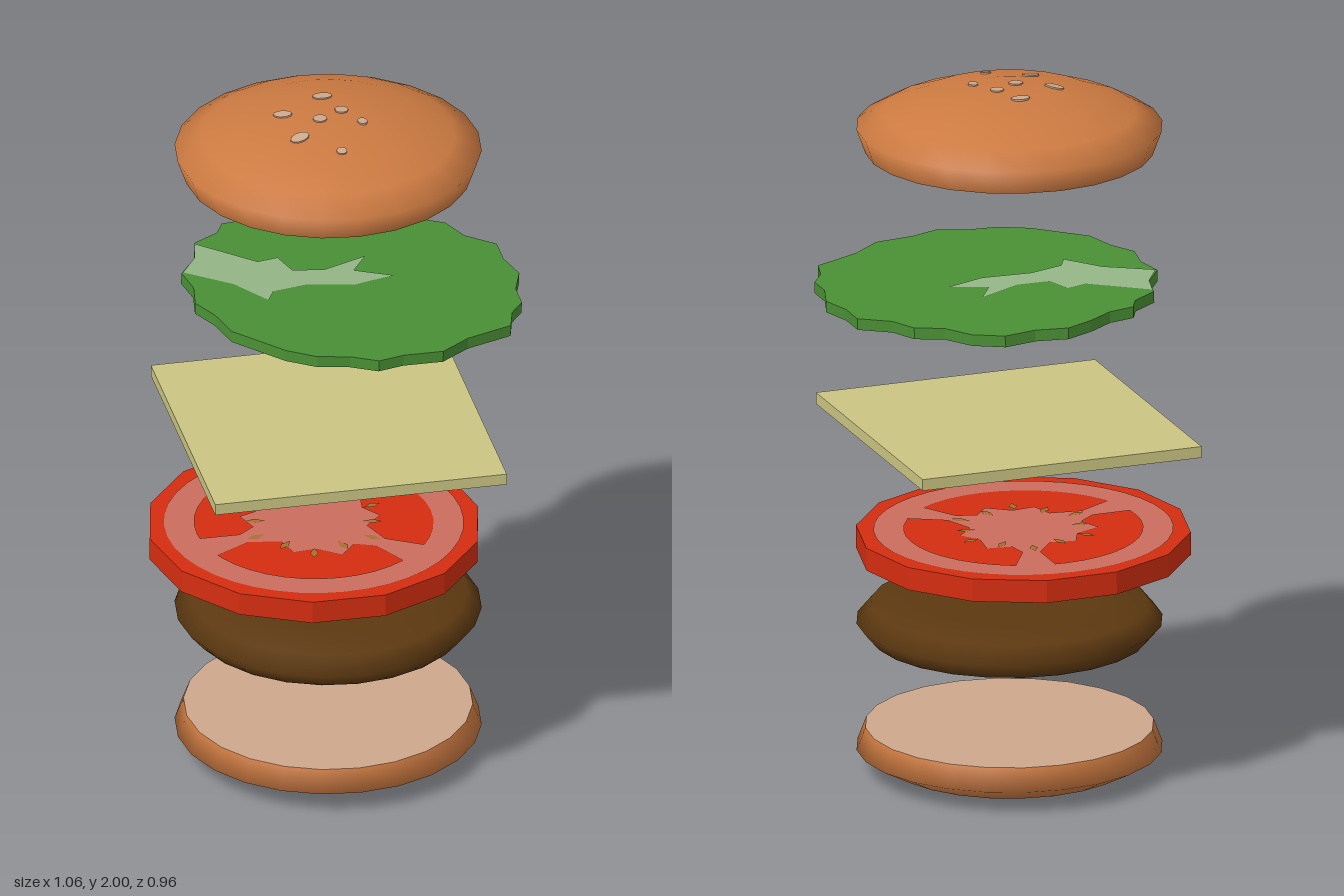
import * as THREE from 'three';

const mat = (name, color) => {
  const m = new THREE.MeshStandardMaterial({ color });
  m.name = name;
  return m;
};

// Flat outline given as [x, z] pairs, facing up; optional holes and thickness
function slab(points, depth = 0, holes = []) {
  const toV = (list) => list.map(([x, z]) => new THREE.Vector2(x, -z));
  const shape = new THREE.Shape(toV(points));
  holes.forEach((h) => shape.holes.push(new THREE.Path(toV(h))));
  const geo = depth
    ? new THREE.ExtrudeGeometry(shape, { depth, bevelEnabled: false })
    : new THREE.ShapeGeometry(shape);
  return geo.rotateX(-Math.PI / 2);
}

const ringPoints = (n, radius) =>
  Array.from({ length: n }, (_, i) => {
    const a = (i / n) * Math.PI * 2;
    const r = typeof radius === 'function' ? radius(i) : radius;
    return [r * Math.cos(a), r * Math.sin(a)];
  });

const lathe = (profile) =>
  new THREE.LatheGeometry(profile.map(([r, y]) => new THREE.Vector2(r, y)), 24);

export function createModel() {
  const model = new THREE.Group();
  model.name = 'explodedBurger';

  const crust = mat('bun crust', 0xcc7a41);
  const crumb = mat('bun crumb and sesame', 0xcda88b);
  const green = mat('lettuce green', 0x4a8f35);
  const vein = mat('lettuce vein', 0x94b686);
  const yellow = mat('cheese yellow', 0xcac582);
  const red = mat('tomato red', 0xd42d10);
  const pink = mat('tomato flesh', 0xca6c5c);
  const seed = mat('tomato seed', 0xa8702f);
  const brown = mat('patty brown', 0x5c3810);

  const add = (parent, name, geo, material, x = 0, y = 0, z = 0) => {
    const mesh = new THREE.Mesh(geo, material);
    mesh.name = name;
    mesh.position.set(x, y, z);
    parent.add(mesh);
    return mesh;
  };
  const group = (name, x, y, z) => {
    const g = new THREE.Group();
    g.name = name;
    g.position.set(x, y, z);
    model.add(g);
    return g;
  };
  const CX = -0.02, CZ = 0.02;

  // Bottom bun with a pale cut face
  const bottomBun = group('bottomBun', CX, 0, CZ);
  add(bottomBun, 'bottomCrust',
    lathe([[0, 0], [0.235, 0.003], [0.345, 0.02], [0.43, 0.065], [0.405, 0.13]]), crust);
  add(bottomBun, 'bottomCutFace',
    new THREE.CircleGeometry(0.405, 24).rotateX(-Math.PI / 2), crumb, 0, 0.13, 0);

  // Patty
  add(model, 'patty',
    lathe([[0, 0.373], [0.25, 0.375], [0.39, 0.39], [0.43, 0.437], [0.39, 0.485], [0.26, 0.499], [0, 0.5]]),
    brown, CX, 0, CZ);

  // Tomato slice, patterned on both faces
  const tomato = group('tomato', -0.06, 0.666, 0.015);
  tomato.rotation.z = -0.006;
  add(tomato, 'tomatoSlice', slab(ringPoints(14, 0.47), 0.066), red, 0, -0.033, 0);
  const fleshRing = slab(ringPoints(40, 0.42), 0, [ringPoints(40, 0.335)]);
  const core = [0.19, 0.15, 0.2, 0.17, 0.21, 0.16];
  const fleshCore = slab(ringPoints(18, (i) => core[i % core.length]));
  const spoke = slab([[0.12, -0.07], [0.22, -0.025], [0.35, -0.06], [0.35, 0.06], [0.22, 0.025], [0.12, 0.07]]);
  const fleck = slab([[-0.03, 0], [0, -0.012], [0.025, 0], [0, 0.012]]);
  for (const side of [1, -1]) {
    const face = new THREE.Group();
    face.name = side > 0 ? 'tomatoTopPattern' : 'tomatoBottomPattern';
    if (side < 0) face.rotation.z = Math.PI;
    tomato.add(face);
    add(face, 'fleshRing', fleshRing, pink, 0, 0.035, 0);
    add(face, 'fleshCore', fleshCore, pink, 0, 0.0355, 0);
    for (let i = 0; i < 3; i++) {
      add(face, 'fleshSpoke', spoke, pink, 0, 0.036, 0).rotation.y = -Math.PI / 4 + (i * Math.PI * 2) / 3;
    }
    for (let i = 0; i < 12; i++) {
      const a = (i + 0.4) * Math.PI / 6;
      const r = i % 2 ? 0.19 : 0.165;
      add(face, 'tomatoSeed', fleck, seed, r * Math.cos(a), 0.0375, r * Math.sin(a)).rotation.y = -a;
    }
  }

  // Cheese slice
  add(model, 'cheese', new THREE.BoxGeometry(0.835, 0.033, 0.838), yellow, -0.018, 1.007, 0.02);

  // Lettuce leaf with a ruffled edge, slightly tilted
  const lettuce = group('lettuce', 0.055, 1.43, 0);
  lettuce.rotation.z = -0.031;
  const edge = [
    [-0.005, -0.483], [0.085, -0.46], [0.18, -0.472], [0.26, -0.42], [0.31, -0.335], [0.385, -0.295],
    [0.42, -0.215], [0.5, -0.15], [0.5, -0.06], [0.525, 0.03], [0.495, 0.12], [0.495, 0.2],
    [0.455, 0.255], [0.435, 0.33], [0.3, 0.385], [0.215, 0.45], [0.1, 0.455], [0.025, 0.477],
    [-0.05, 0.44], [-0.14, 0.425], [-0.22, 0.375], [-0.28, 0.31], [-0.345, 0.24], [-0.37, 0.14],
    [-0.41, 0.06], [-0.395, -0.03], [-0.41, -0.12], [-0.355, -0.2], [-0.335, -0.29], [-0.26, -0.34],
    [-0.235, -0.39], [-0.16, -0.402], [-0.085, -0.45],
  ].map(([x, z]) => [x - 0.055, z]);
  add(lettuce, 'leaf', slab(edge, 0.033), green, 0, -0.0165, 0);
  const veinShape = slab([
    [-0.405, -0.12], [-0.355, -0.2], [-0.335, -0.28], [-0.185, -0.15], [-0.125, -0.165], [-0.1, -0.085],
    [-0.01, -0.075], [0.12, -0.135], [0.07, -0.057], [0.174, -0.01], [0.06, 0.026], [-0.08, 0.006],
    [-0.18, 0.03], [-0.204, 0.078], [-0.28, -0.03],
  ].map(([x, z]) => [x - 0.055, z]));
  add(lettuce, 'topVein', veinShape, vein, 0, 0.0185, 0);
  const under = new THREE.Group();
  under.name = 'leafUnderside';
  under.rotation.y = -0.5;
  lettuce.add(under);
  add(under, 'bottomVein', veinShape, vein, 0, -0.0185, 0).rotation.z = Math.PI;

  // Top bun: domed crust and pale underside
  const topBun = group('topBun', CX, 0, CZ);
  const dome = [[0.43, 1.89], [0.355, 1.932], [0.25, 1.972], [0.11, 1.998], [0, 2.0]];
  add(topBun, 'topCrust', lathe([[0.405, 1.82], ...dome]), crust);
  add(topBun, 'topCutFace',
    new THREE.CircleGeometry(0.405, 24).rotateX(Math.PI / 2), crumb, 0, 1.82, 0);

  // Sesame seeds lying on the dome: x, z, half length, half width, turn
  const sesame = [
    [-0.015, -0.08, 0.028, 0.018, 0], [-0.145, -0.005, 0.028, 0.018, -0.6], [0.02, 0.012, 0.019, 0.019, 0],
    [-0.05, 0.05, 0.02, 0.02, 0], [0.063, 0.088, 0.014, 0.018, 0], [-0.125, 0.13, 0.029, 0.02, 0.4],
    [-0.024, 0.217, 0.015, 0.015, 0],
  ];
  for (const [sx, sz, a, b, turn] of sesame) {
    const x = sx - CX, z = sz - CZ, r = Math.hypot(x, z);
    const i = dome.findIndex(([dr]) => dr <= r);
    const [r0, y0] = dome[i - 1], [r1, y1] = dome[i];
    const slope = (y0 - y1) / (r0 - r1);
    const geo = new THREE.CylinderGeometry(1, 1, 0.006, 10).scale(a, 1, b).rotateY(turn);
    const s = add(topBun, 'sesameSeed', geo, crumb, x, y1 + slope * (r - r1) + 0.001, z);
    const normal = new THREE.Vector3((-slope * x) / r, 1, (-slope * z) / r).normalize();
    s.quaternion.setFromUnitVectors(new THREE.Vector3(0, 1, 0), normal);
  }

  return model;
}
